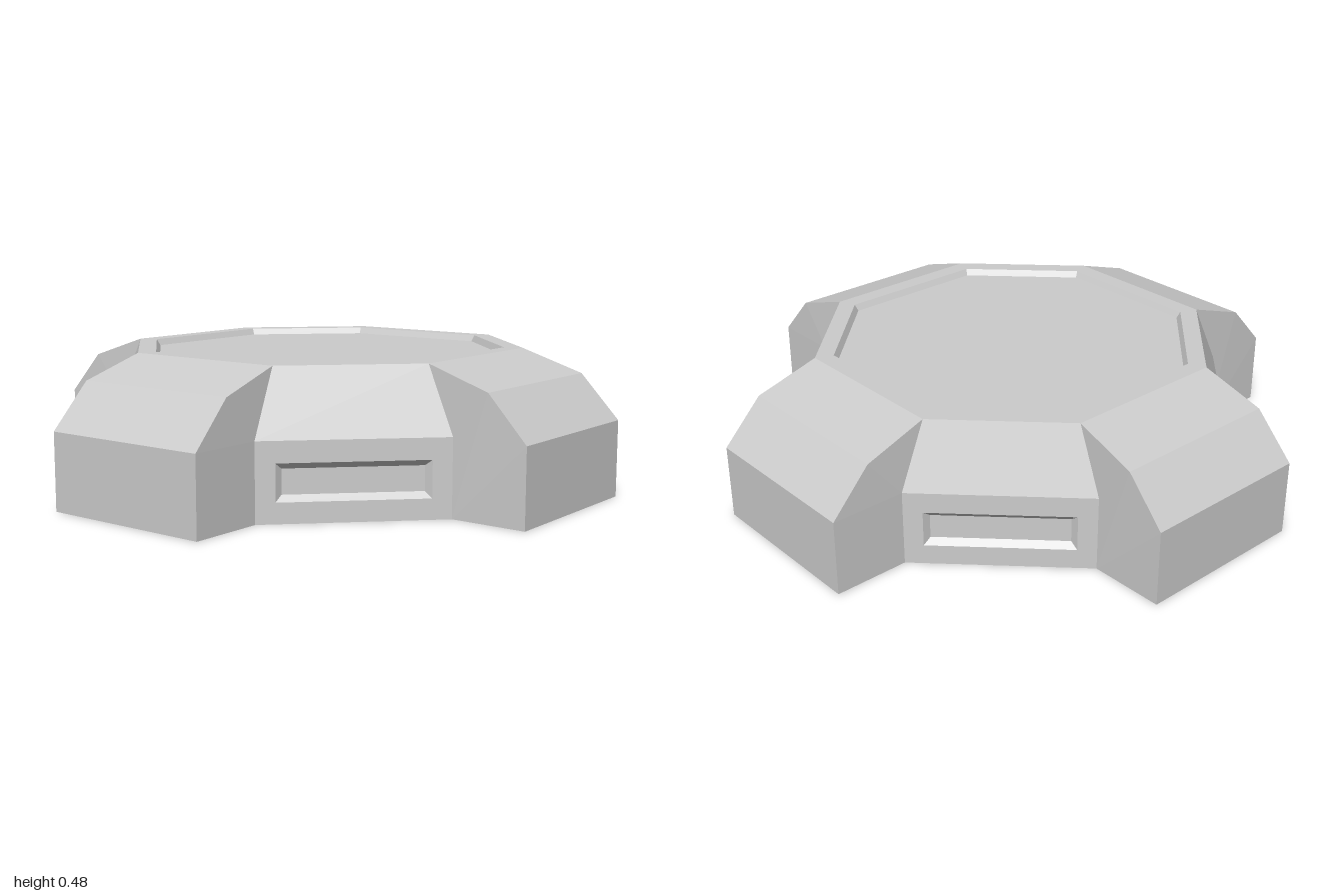
import * as THREE from 'three';

// Flat-shaded geometry from convex polygons, corners counter-clockwise from outside
function polygons(faces) {
  const pos = [];
  for (const f of faces)
    for (let i = 1; i < f.length - 1; i++) pos.push(...f[0], ...f[i], ...f[i + 1]);
  const g = new THREE.BufferGeometry();
  g.setAttribute('position', new THREE.Float32BufferAttribute(pos, 3));
  g.computeVertexNormals();
  return g;
}

// Quads joining an outer loop to an inner loop
const ring = (a, b) => a.map((p, i) => {
  const j = (i + 1) % a.length;
  return [p, a[j], b[j], b[i]];
});

// Octagon with straight sides at distance r and half-length c
function octagon(r, c, y) {
  const pts = [];
  for (let k = 0, p = [[r, c], [r, -c]]; k < 4; k++) {
    pts.push(...p.map(([x, z]) => [x, y, z]));
    p = p.map(([x, z]) => [z, -x]);
  }
  return pts;
}

export function createModel() {
  const model = new THREE.Group();
  const grey = new THREE.MeshStandardMaterial({ color: 0xcccccc });
  const add = (parent, name, faces) => {
    const mesh = new THREE.Mesh(polygons(faces), grey);
    mesh.name = name;
    parent.add(mesh);
  };

  // Top rim, shallow recess and underside
  const rim = octagon(0.64, 0.295, 0.48);
  const lip = octagon(0.58, 0.27, 0.48);
  const floor = octagon(0.568, 0.264, 0.458);
  add(model, 'topRim', ring(rim, lip));
  add(model, 'topRecess', [...ring(lip, floor), floor]);
  add(model, 'underside', [octagon(0.742, 0.308, 0).reverse()]);

  // Arm profile from the foot of the end face to the rim: y, z, half-width
  const profile = [[0, 1, 0.308], [0.26, 1, 0.308], [0.408, 0.862, 0.305], [0.48, 0.64, 0.295]];
  const armFaces = [];
  for (let i = 0; i < 3; i++) {
    const [y0, z0, w0] = profile[i], [y1, z1, w1] = profile[i + 1];
    armFaces.push([[-w0, y0, z0], [w0, y0, z0], [w1, y1, z1], [-w1, y1, z1]]);
  }
  const side = [[0.308, 0.26, 0.742], ...profile.map(([y, z, w]) => [w, y, z]).reverse(), [0.308, 0, 0.742]];
  armFaces.push(side, side.map(([x, y, z]) => [-x, y, z]).reverse());
  armFaces.push([[-0.308, 0, 0.742], [0.308, 0, 0.742], [0.308, 0, 1], [-0.308, 0, 1]]);

  // Rectangle on the diagonal wall, pushed inwards by depth
  const wallRect = (half, y0, y1, depth) =>
    [[-half, y0], [half, y0], [half, y1], [-half, y1]].map(([u, y]) => [
      0.525 + (u - depth) * Math.SQRT1_2, y, 0.525 - (u + depth) * Math.SQRT1_2]);
  const wall = wallRect(0.434 * Math.SQRT1_2, 0, 0.26, 0);
  const slot = wallRect(0.244, 0.068, 0.19, 0);
  const slotBack = wallRect(0.224, 0.088, 0.17, 0.02);
  const slope = [wall[3], wall[2], [0.64, 0.48, 0.295], [0.295, 0.48, 0.64]];

  // Four identical quarters
  for (let k = 0; k < 4; k++) {
    const quarter = new THREE.Group();
    quarter.name = 'quarter' + (k + 1);
    quarter.rotation.y = k * Math.PI / 2;
    add(quarter, 'arm', armFaces);
    add(quarter, 'diagonalWall', [...ring(wall, slot), slope]);
    add(quarter, 'wallSlot', [...ring(slot, slotBack), slotBack]);
    model.add(quarter);
  }
  return model;
}
